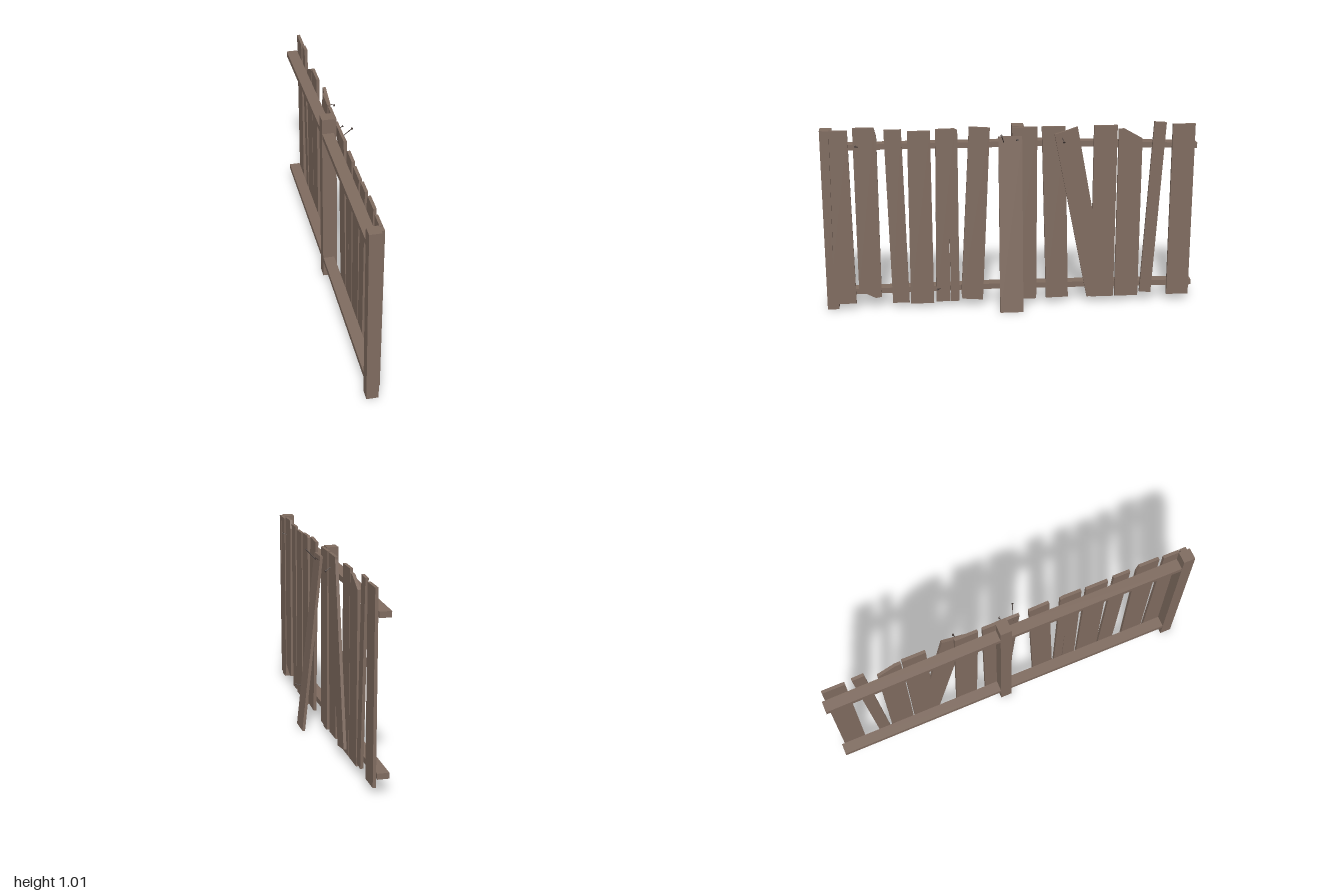
import * as THREE from 'three';

const wood = new THREE.MeshStandardMaterial({ color: 0x806c60 });
wood.name = 'weathered wood';
const iron = new THREE.MeshStandardMaterial({ color: 0x4a3f3b });
iron.name = 'rusty iron';

// Outlines are [u, y] with u = -z (left to right when seen from +x)
function board(name, outline, x, depth) {
  const shape = new THREE.Shape(outline.map(([u, y]) => new THREE.Vector2(u, y)));
  const geo = new THREE.ExtrudeGeometry(shape, { depth, bevelEnabled: false });
  geo.rotateY(Math.PI / 2);
  geo.translate(x, 0, 0);
  const mesh = new THREE.Mesh(geo, wood);
  mesh.name = name;
  return mesh;
}

// Nail with a flat head, pointing from its tip to its head
function nail(tip, head) {
  const a = new THREE.Vector3(...tip), b = new THREE.Vector3(...head);
  const len = a.distanceTo(b);
  const g = new THREE.Group();
  g.name = 'nail';
  const shank = new THREE.Mesh(new THREE.CylinderGeometry(0.0025, 0.0015, len, 6), iron);
  shank.name = 'nailShank';
  shank.position.y = len / 2;
  const cap = new THREE.Mesh(new THREE.CylinderGeometry(0.006, 0.006, 0.003, 8), iron);
  cap.name = 'nailHead';
  cap.position.y = len;
  g.add(shank, cap);
  g.position.copy(a);
  g.quaternion.setFromUnitVectors(new THREE.Vector3(0, 1, 0), b.sub(a).normalize());
  return g;
}

export function createModel() {
  const fence = new THREE.Group();
  fence.name = 'brokenFence';

  // Posts
  for (const [z, h] of [[0.969, 1.0], [-0.037, 1.005]]) {
    const post = new THREE.Mesh(new THREE.BoxGeometry(0.062, h, 0.062), wood);
    post.name = 'post';
    post.position.set(-0.068, h / 2, z);
    fence.add(post);
  }

  // Rails: [u start, u end, bottom y at start, bottom y at end]
  const rails = [
    [-0.94, 0.01, 0.892, 0.892], [0.065, 1, 0.896, 0.862],
    [-0.94, 0.01, 0.083, 0.092], [0.065, 1, 0.09, 0.08],
  ];
  for (const [u0, u1, y0, y1] of rails) {
    const h = 0.03;
    fence.add(board('rail', [[u0, y0], [u1, y1], [u1, y1 + h], [u0, y0 + h]], -0.097, 0.06));
  }

  // Nailed pickets, some chipped or split
  const pickets = [
    [[-0.957, 0.035], [-0.842, 0.037], [-0.855, 1], [-0.943, 1], [-0.958, 0.27], [-0.95, 1], [-0.984, 1]],
    [[-0.826, 0.11], [-0.737, 0.065], [-0.705, 0.07], [-0.705, 0.965], [-0.718, 1.013], [-0.828, 1.013]],
    [[-0.645, 0.033], [-0.555, 0.033], [-0.576, 1], [-0.667, 1]],
    [[-0.548, 0.025], [-0.422, 0.025], [-0.425, 0.99], [-0.545, 0.99]],
    [[-0.41, 0.033], [-0.334, 0.033], [-0.332, 0.5], [-0.33, 0.033], [-0.283, 0.033], [-0.283, 0.99], [-0.3, 1], [-0.398, 0.998]],
    [[-0.268, 0.045], [-0.155, 0.036], [-0.112, 1], [-0.222, 1.008], [-0.272, 0.08]],
    [[0.012, 0.033], [0.138, 0.033], [0.138, 1], [0.008, 1]],
    [[0.192, 0.035], [0.313, 0.037], [0.287, 1], [0.162, 1]],
    [[0.44, 0.033], [0.565, 0.033], [0.565, 1], [0.44, 1]],
    [[0.572, 0.033], [0.7, 0.033], [0.7, 0.925], [0.603, 0.98], [0.572, 0.98]],
    [[0.71, 0.053], [0.773, 0.048], [0.827, 1.01], [0.762, 1.015]],
    [[0.862, 0.033], [0.983, 0.033], [0.983, 1], [0.862, 1]],
  ];
  for (const p of pickets) fence.add(board('picket', p, -0.037, 0.016));

  // Slipped picket lying over its neighbours
  fence.add(board('slippedPicket',
    [[0.415, 0.04], [0.528, 0.058], [0.35, 1], [0.29, 0.98], [0.228, 0.962]], -0.021, 0.016));

  // Loose picket leaning against the fence
  const tilt = 0.103, len = 0.96;
  const loose = new THREE.Mesh(new THREE.BoxGeometry(0.015, len, 0.125), wood);
  loose.name = 'leaningPicket';
  loose.rotation.z = tilt;
  loose.position.set(0.087 - Math.sin(tilt) * len / 2, 0.001 + Math.cos(tilt) * len / 2, 0.006);
  fence.add(loose);

  // Bent-out nails
  fence.add(
    nail([-0.015, 0.91, 0.035], [0.045, 0.975, 0.057]),
    nail([-0.015, 0.95, -0.265], [0.025, 0.926, -0.275]),
    nail([-0.015, 0.93, -0.02], [0.015, 0.942, -0.03]),
    nail([-0.025, 0.912, 0.8], [-0.002, 0.92, 0.815]),
    nail([-0.025, 0.108, 0.385], [0.022, 0.12, 0.402]),
  );
  return fence;
}
